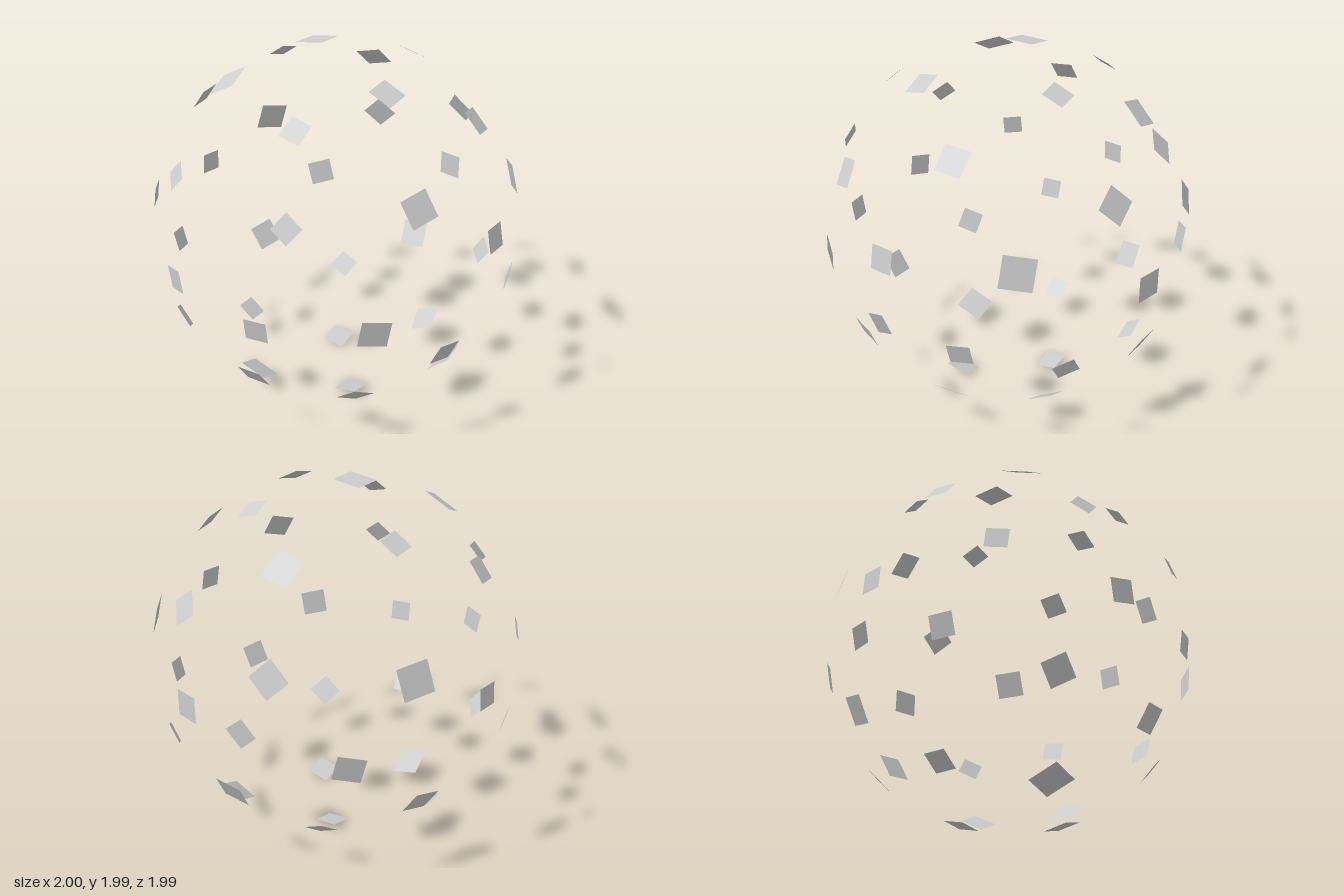
import * as THREE from 'three';

// A hollow ball of separate square plates, spread on a golden-angle spiral along z
const COUNT = 40;
const RADIUS = 1;
const GOLDEN = 180 * (3 - Math.sqrt(5)); // degrees

// Irregularities of each plate along the spiral: side length (thousandths) and angle shift (degrees)
const SIDES = [
  142, 142, 158, 142, 144, 117, 152, 123, 163, 163,
  146, 118, 150, 119, 113, 132, 136, 120, 155, 160,
  120, 128, 130, 139, 132, 117, 136, 165, 164, 146,
  113, 137, 116, 130, 147, 111, 139, 110, 125, 120];
const SHIFTS = [
  2, -4, 0, 1, 5, -1, -2, 2, -4, 4.5,
  -2, 4, 2.5, -3, -1.5, 0, 2.5, -1, -3, 5,
  2.5, 3, -2.5, 0, 3.5, -1, 0, 4, 3.5, 3,
  5, 3.5, -3, 2.5, -6, 3, 1.5, 6, 4, -6];

export function createModel() {
  const model = new THREE.Group();
  model.name = 'plateSphere';

  const paleGrey = new THREE.MeshStandardMaterial({ color: 0xcccccc, side: THREE.DoubleSide });
  paleGrey.name = 'pale grey';

  const square = new THREE.PlaneGeometry(1, 1);
  const basis = new THREE.Matrix4();

  for (let i = 0; i < COUNT; i++) {
    const z = (2 * i + 1) / COUNT - 1;
    const ring = Math.sqrt(1 - z * z);
    const angle = THREE.MathUtils.degToRad(i * GOLDEN + SHIFTS[i]);
    const normal = new THREE.Vector3(ring * Math.cos(angle), ring * Math.sin(angle), z);

    // Plates line up with the z axis, except the two at the poles, which line up with y
    const up = Math.abs(z) > 0.95 ? new THREE.Vector3(0, 1, 0) : new THREE.Vector3(0, 0, 1);
    const across = up.cross(normal).normalize();
    const along = normal.clone().cross(across);

    const plate = new THREE.Mesh(square, paleGrey);
    plate.name = `plate${i + 1}`;
    plate.quaternion.setFromRotationMatrix(basis.makeBasis(across, along, normal));
    plate.position.copy(normal).multiplyScalar(RADIUS);
    plate.position.y += RADIUS;
    plate.scale.setScalar(SIDES[i] / 1000);
    model.add(plate);
  }
  return model;
}
